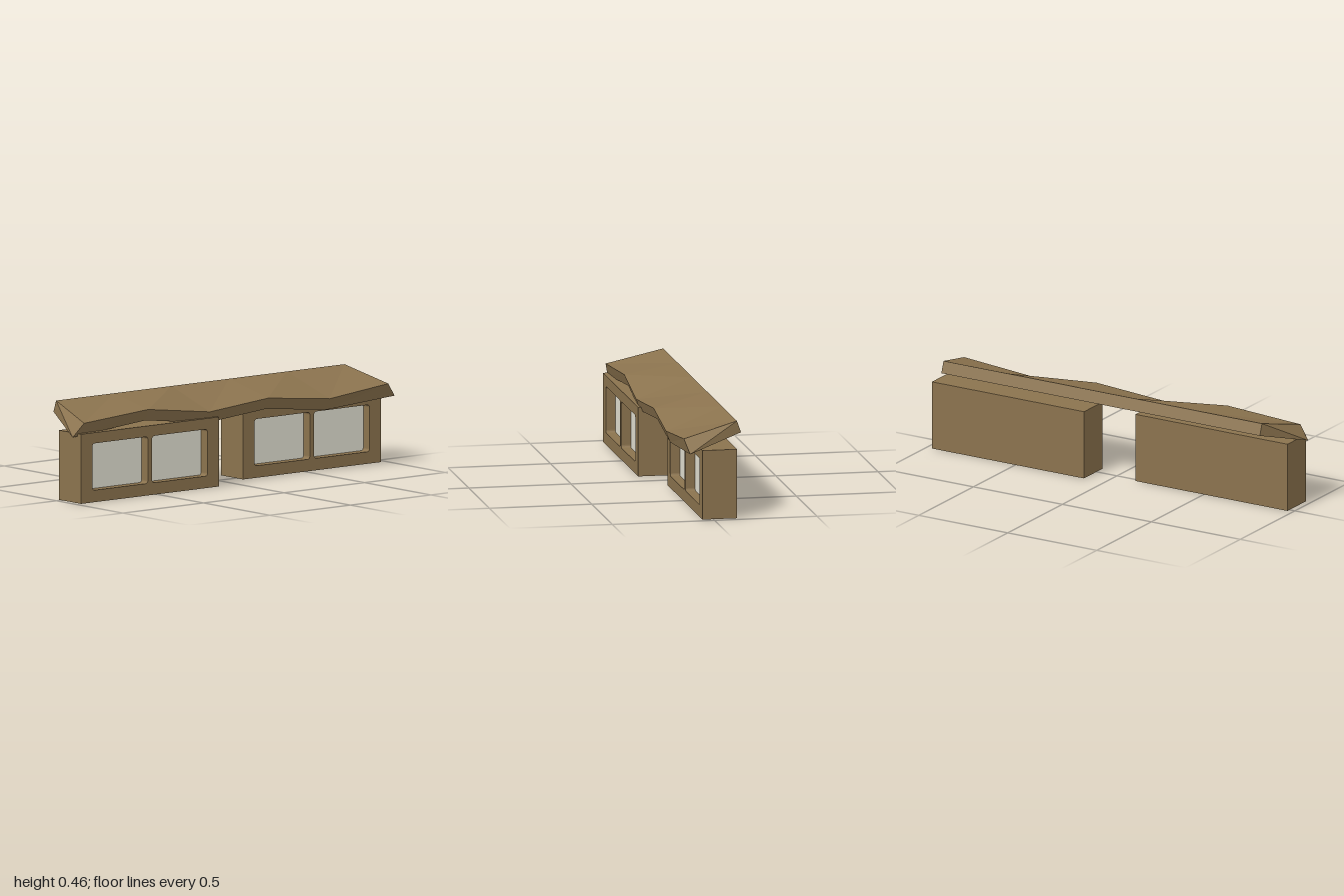
import * as THREE from 'three';

const WIDTH = 0.855, HEIGHT = 0.337, DEPTH = 0.168, RECESS = 0.05;

// Rounded rectangle outline with its lower left corner at x, y
function roundedRect(x, y, w, h, r) {
  const p = new THREE.Path();
  p.absarc(x + w - r, y + r, r, -Math.PI / 2, 0);
  p.absarc(x + w - r, y + h - r, r, 0, Math.PI / 2);
  p.absarc(x + r, y + h - r, r, Math.PI / 2, Math.PI);
  p.absarc(x + r, y + r, r, Math.PI, Math.PI * 1.5);
  p.closePath();
  return p;
}

// A block with two recessed windows; the front lies on z = 0
function createBlock(name, wood, glass) {
  const group = new THREE.Group();
  group.name = name;
  const body = new THREE.Mesh(new THREE.BoxGeometry(WIDTH, HEIGHT, DEPTH - RECESS), wood);
  body.name = 'wallBody';
  body.position.set(0, HEIGHT / 2, -(DEPTH + RECESS) / 2);
  group.add(body);

  const face = new THREE.Shape();
  face.moveTo(-WIDTH / 2, 0).lineTo(WIDTH / 2, 0).lineTo(WIDTH / 2, HEIGHT).lineTo(-WIDTH / 2, HEIGHT).closePath();
  for (const x of [-0.357, 0.013]) {
    face.holes.push(roundedRect(x, 0.058, 0.344, 0.227, 0.014));
    const pane = new THREE.Mesh(new THREE.BoxGeometry(0.344, 0.227, 0.004), glass);
    pane.name = 'windowPane';
    pane.position.set(x + 0.172, 0.1715, -RECESS + 0.001);
    group.add(pane);
  }
  const frame = new THREE.Mesh(
    new THREE.ExtrudeGeometry(face, { depth: RECESS, bevelEnabled: false, curveSegments: 3 }), wood);
  frame.name = 'windowFrame';
  frame.position.z = -RECESS;
  group.add(frame);
  return group;
}

// Sloping slab whose front edge waves up and down
function createRoof(wood) {
  const frontX = [-0.945, -0.54, -0.17, 0.2, 0.57, 0.945];
  const frontY = [0.387, 0.413, 0.367, 0.396, 0.358, 0.393];
  const last = frontX.length - 1;
  const sections = frontX.map((x, k) => {
    const end = k === 0 || k === last;
    const bx = -0.895 + (1.79 * k) / last;
    const y = frontY[k], z = 0.132 + (0.413 - y) * 0.36;
    return [
      [bx, 0.46, -0.13],
      [x, y, z],
      [end ? Math.sign(x) : x, y - (end ? 0.066 : 0.055), z - 0.02],
      [bx, 0.404, -0.15],
    ];
  });
  const pos = [];
  const tri = (...pts) => pts.forEach((p) => pos.push(...p));
  for (let k = 0; k < last; k++) {
    for (let j = 0; j < 4; j++) {
      const n = (j + 1) % 4, s = sections[k], t = sections[k + 1];
      tri(s[j], s[n], t[j]);
      tri(s[n], t[n], t[j]);
    }
  }
  // End caps
  const [a, b, c, d] = sections[0], [e, f, g, h] = sections[last];
  tri(a, c, b); tri(a, d, c);
  tri(e, f, g); tri(e, g, h);
  const geo = new THREE.BufferGeometry();
  geo.setAttribute('position', new THREE.Float32BufferAttribute(pos, 3));
  geo.computeVertexNormals();
  const roof = new THREE.Mesh(geo, wood);
  roof.name = 'roof';
  return roof;
}

export function createModel() {
  const wood = new THREE.MeshStandardMaterial({ color: 0x8b734e });
  wood.name = 'brown wood';
  wood.flatShading = true;
  const glass = new THREE.MeshStandardMaterial({ color: 0xe2e0d2 });
  glass.name = 'pale glass';

  const model = new THREE.Group();
  model.name = 'windowedShelter';
  // The two blocks are staggered in depth
  const right = createBlock('rightBlock', wood, glass);
  right.position.set(-0.5425, 0, 0.149);
  const left = createBlock('leftBlock', wood, glass);
  left.position.set(0.5425, 0, 0.053);
  model.add(right, left, createRoof(wood));
  return model;
}
